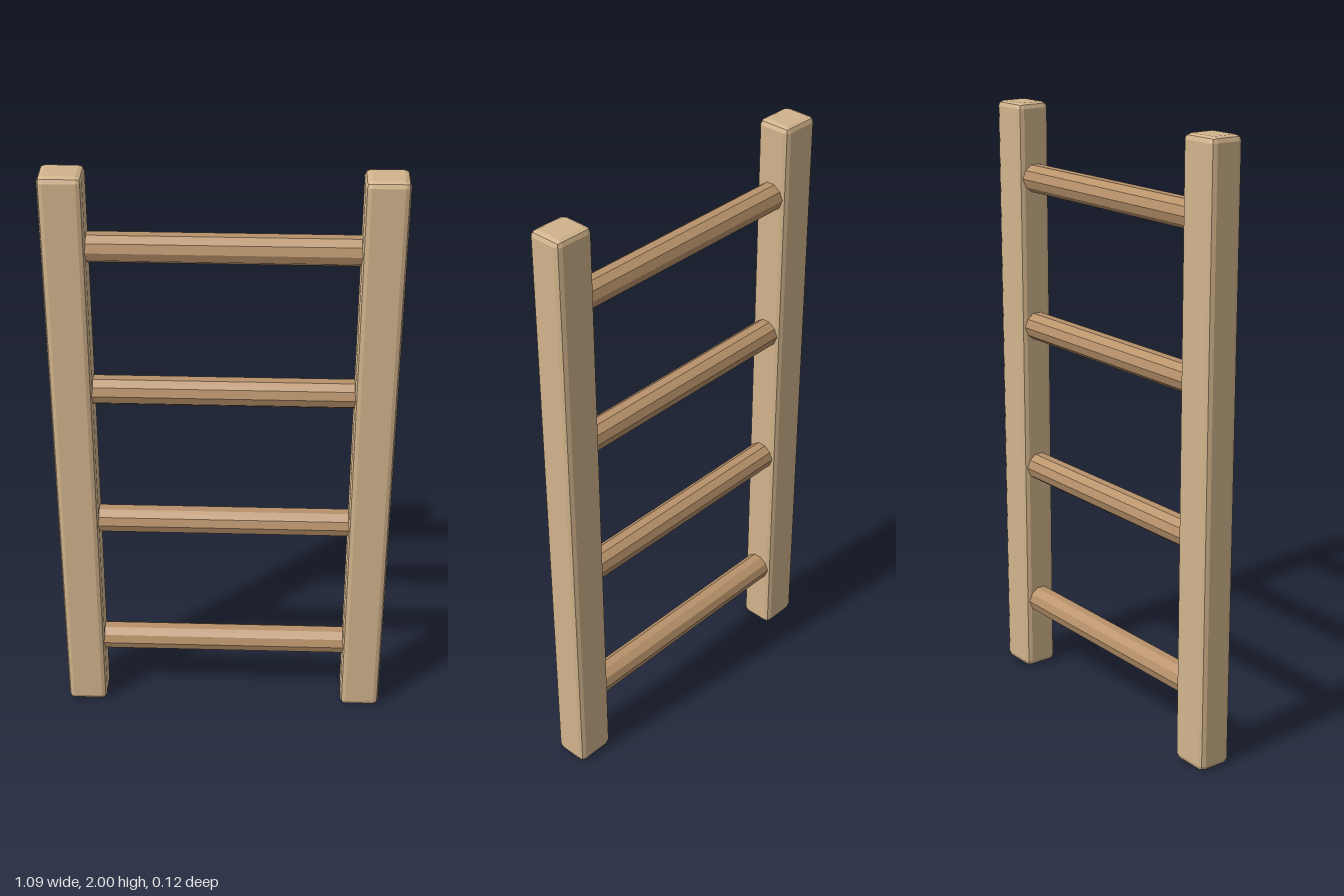
import * as THREE from 'three';
import { RoundedBoxGeometry } from 'three/addons/geometries/RoundedBoxGeometry.js';

export function createModel() {
  const railWood = new THREE.MeshStandardMaterial({ color: 0xd2b48c, flatShading: true });
  railWood.name = 'light wood';
  const rungWood = new THREE.MeshStandardMaterial({ color: 0xb8926a, flatShading: true });
  rungWood.name = 'brown wood';

  const ladder = new THREE.Group();
  ladder.name = 'ladder';

  // Two upright rails with softened edges
  const railGeometry = new RoundedBoxGeometry(0.134, 2, 0.116, 1, 0.018);
  for (const [name, side] of [['leftRail', 1], ['rightRail', -1]]) {
    const rail = new THREE.Mesh(railGeometry, railWood);
    rail.name = name;
    rail.position.set(side * 0.479, 1, 0);
    ladder.add(rail);
  }

  // Four ten-sided rungs, let into the rails
  const rungGeometry = new THREE.CylinderGeometry(0.047, 0.047, 0.88, 10);
  rungGeometry.rotateZ(Math.PI / 2);
  for (let i = 0; i < 4; i++) {
    const rung = new THREE.Mesh(rungGeometry, rungWood);
    rung.name = `rung${i + 1}`;
    rung.position.y = 0.252 + i * 0.501;
    ladder.add(rung);
  }

  return ladder;
}
